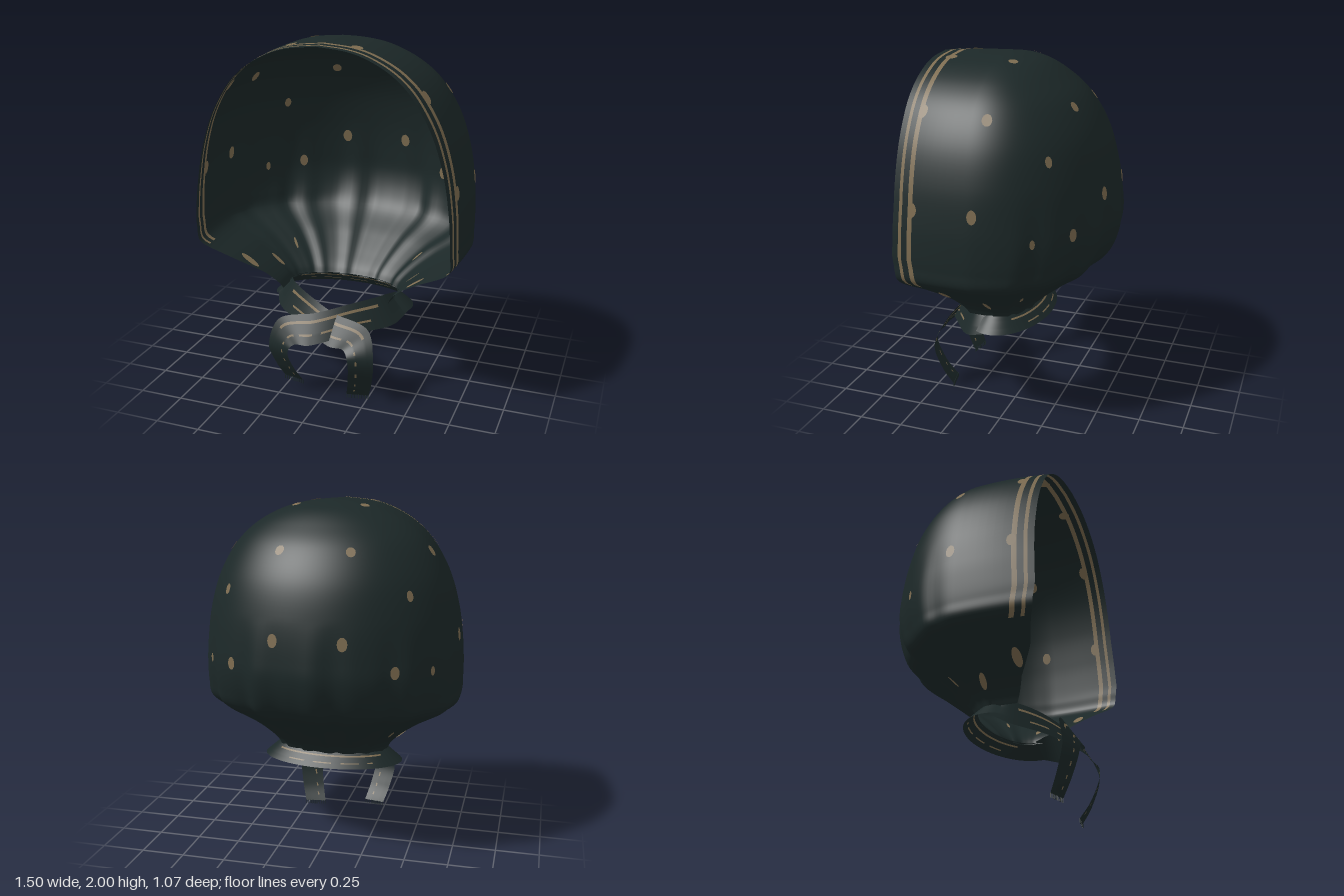
import * as THREE from 'three';

const cloth = new THREE.MeshStandardMaterial({ color: 0x1c2828, side: THREE.DoubleSide });
cloth.name = 'dark green cloth';
const gold = new THREE.MeshStandardMaterial({ color: 0x7d6c50, side: THREE.DoubleSide });
gold.name = 'dull gold print';
const mats = [cloth, gold];

const V = (x, y, z) => new THREE.Vector3(x, y, z);

// Linear interpolation in a table of [key, value] pairs with rising keys
function table(pairs, k) {
  if (k <= pairs[0][0]) return pairs[0][1];
  for (let i = 1; i < pairs.length; i++) {
    const [k0, v0] = pairs[i - 1], [k1, v1] = pairs[i];
    if (k <= k1) return v0 + (v1 - v0) * (k - k0) / (k1 - k0);
  }
  return pairs[pairs.length - 1][1];
}

// Sheet of rows x cols points; isGold(row, col) picks the colour of a cell
function sheet(name, rows, cols, point, isGold) {
  const pos = [], faces = [[], []];
  for (let r = 0; r < rows; r++)
    for (let c = 0; c < cols; c++) pos.push(...point(r, c).toArray());
  for (let r = 0; r < rows - 1; r++)
    for (let c = 0; c < cols - 1; c++) {
      const a = r * cols + c, b = a + cols;
      faces[isGold(r, c) ? 1 : 0].push(a, b, a + 1, b, b + 1, a + 1);
    }
  const geo = new THREE.BufferGeometry();
  geo.setAttribute('position', new THREE.Float32BufferAttribute(pos, 3));
  geo.setIndex([...faces[0], ...faces[1]]);
  geo.addGroup(0, faces[0].length, 0);
  geo.addGroup(faces[0].length, faces[1].length, 1);
  geo.computeVertexNormals();
  const mesh = new THREE.Mesh(geo, mats);
  mesh.name = name;
  return mesh;
}

// Hood: horizontal U-shaped sections, open to the front
const profile = new THREE.CatmullRomCurve3([ // half width, height, back z
  [0, 2, 0.1], [0.17, 1.983, 0], [0.29, 1.95, -0.1], [0.435, 1.875, -0.215], [0.55, 1.77, -0.33],
  [0.653, 1.6, -0.435], [0.715, 1.4, -0.495], [0.743, 1.2, -0.525], [0.75, 1.08, -0.53],
  [0.75, 0.96, -0.5], [0.74, 0.87, -0.45], [0.54, 0.74, -0.29], [0.42, 0.65, -0.18],
  [0.35, 0.58, -0.1], [0.33, 0.54, -0.07],
].map(p => V(...p)));
const frontZ = [[0.54, 0.25], [0.58, 0.27], [0.65, 0.31], [0.75, 0.41], [0.86, 0.49], [1, 0.51], [1.3, 0.5]];
const frontTaper = [[0.85, 0.03], [1.2, 0.05], [1.7, 0.08], [2, 0.08]];
const pleatDepth = [[0.54, 0.03], [0.75, 0.03], [1, 0.016], [1.4, 0]];
const edgeSteps = [0, 0.018, 0.035, 0.055, 0.09, 0.118];
const HOOD_ROWS = 113, ARC = 72, SIDE = edgeSteps.length + 5, MID_Z = 0.1;
const HOOD_COLS = 2 * SIDE + ARC + 1;

function hoodPoint(r, c) {
  const p = profile.getPoint(r / (HOOD_ROWS - 1));
  const w = Math.max(p.x, 0), zf = table(frontZ, p.y);
  const k = Math.min(c, HOOD_COLS - 1 - c), sign = c < HOOD_COLS / 2 ? 1 : -1;
  if (k < SIDE) {
    const last = edgeSteps.length - 1;
    const rest = zf - MID_Z - edgeSteps[last];
    const d = k <= last ? edgeSteps[k] : edgeSteps[last] + rest * (k - last) / (SIDE - last);
    const ease = Math.max(0, 1 - d / 0.38) ** 2;
    const sag = p.y > 1 ? 0.012 * ease * (p.y - 1) : 0;
    return V(sign * w * (1 - table(frontTaper, p.y) * ease), p.y - sag, zf - d);
  }
  const a = Math.PI * (c - SIDE) / ARC;
  const pleat = 1 + table(pleatDepth, p.y) * Math.sin(a) * (Math.cos(16 * a) - 0.3 + 0.4 * Math.cos(27 * a));
  return V(w * Math.cos(a) * pleat, p.y, MID_Z - (MID_Z - p.z) * Math.sin(a) * pleat);
}

function makeHood() {
  const hood = sheet('hood', HOOD_ROWS, HOOD_COLS, hoodPoint, (r, c) => {
    const k = Math.min(c, HOOD_COLS - 2 - c);
    return (k === 2 || k === 4) && hoodPoint(r, 0).y > 0.85;
  });
  const n = hood.geometry.attributes.normal;
  for (let c = 0; c < HOOD_COLS; c++) n.setXYZ(c, 0, 1, 0);
  return hood;
}

// Printed dots, laid on both faces of the hood
function makeDots(hood) {
  const group = new THREE.Group();
  group.name = 'printedDots';
  const spots = [ // x, y, z, half width, half height
    [0.19, 1.965, 0.02, 0.027, 0.026], [0.56, 1.735, 0.015, 0.027, 0.034],
    [0.19, 1.76, -0.325, 0.026, 0.03], [0.505, 1.525, -0.3, 0.02, 0.03],
    [0.182, 1.31, -0.49, 0.028, 0.038], [0.445, 1.14, -0.405, 0.025, 0.036],
    [0.63, 1.125, -0.24, 0.015, 0.026], [0.74, 1.27, 0.05, 0.026, 0.038],
    [0.73, 1.285, 0.385, 0.026, 0.038], [0.53, 1.74, 0.385, 0.026, 0.038],
    [0.18, 1.97, 0.385, 0.034, 0.03], [0.5, 0.73, 0.32, 0.026, 0.062], [0.42, 0.66, 0.1, 0.018, 0.052],
    [0.4, 0.68, -0.1, 0.008, 0.04],
  ];
  const disc = new THREE.CircleGeometry(1, 16);
  const { position, normal } = hood.geometry.attributes;
  const p = V(0, 0, 0), n = V(0, 0, 0);
  for (const s of spots) for (const m of [1, -1]) {
    const target = V(s[0] * m, s[1], s[2]);
    let best = 0, bestD = Infinity;
    for (let i = 0; i < position.count; i++) {
      const d = p.fromBufferAttribute(position, i).distanceToSquared(target);
      if (d < bestD) { bestD = d; best = i; }
    }
    p.fromBufferAttribute(position, best);
    n.fromBufferAttribute(normal, best);
    for (const face of [1, -1]) {
      const dot = new THREE.Mesh(disc, gold);
      dot.name = 'dot';
      dot.position.copy(p).addScaledVector(n, 0.004 * face);
      dot.lookAt(dot.position.clone().addScaledVector(n, face));
      dot.scale.set(s[3], s[4], 1);
      group.add(dot);
    }
  }
  return group;
}

// Striped ribbon: a centre path and half-width vectors along it
const across = [-1, -0.55, -0.36, 0.3, 0.44, 1];
function ribbon(name, centres, halves, steps, isGold) {
  const path = new THREE.CatmullRomCurve3(centres), side = new THREE.CatmullRomCurve3(halves);
  return sheet(name, steps, across.length, (r, c) => {
    const t = r / (steps - 1);
    return path.getPoint(t).addScaledVector(side.getPoint(t), across[c]);
  }, isGold);
}

// Flared band around the back of the neck
function makeCollar() {
  const centres = [], halves = [];
  for (let i = 0; i <= 20; i++) {
    const a = -0.35 + (Math.PI + 0.7) * i / 20, x = Math.cos(a), z = -Math.sin(a);
    centres.push(V(0.375 * x, 0.51, 0.1 + 0.2 * z));
    halves.push(V(0.045 * x, -0.04, 0.04 * z));
  }
  return ribbon('collar', centres, halves, 81, (r, c) =>
    (c === 1 && r > 18 && r < 62) || (c === 3 && r > 24 && r < 56 && r % 9 < 6));
}

// Tie: crosses under the chin, then hangs down with a fringe
function makeTie(name, m, back, endY) {
  const tie = new THREE.Group();
  tie.name = name;
  const drop = 0.06 - endY;
  const centres = [
    [0.365, 0.51, 0.12], [0.315, 0.495, 0.24], [0.14, 0.47, 0.375], [-0.05, 0.42, 0.47],
    [-0.2, 0.39, 0.49], [-0.245, 0.29, 0.508], [-0.225, 0.16, 0.462], [-0.195, 0.06, 0.408],
  ].map(([x, y, z], i) => V(x * m, y - (i > 5 ? drop : 0), z - (i > 0 && i < 5 ? back : 0)));
  const halves = [
    [0.045, -0.045, 0.01], [0.035, -0.078, 0.02], [0.012, -0.076, 0.035], [0.01, -0.075, 0.048],
    [0.06, -0.055, 0.035], [0.067, -0.005, 0.022], [0.064, 0, 0.018], [0.062, 0, 0.012],
  ].map(([x, y, z]) => V(x * m, y, z));
  // The print is bold on the crossing and fades to short dashes on the tail
  tie.add(ribbon('ribbon', centres, halves, 85, (r, c) =>
    (c === 1 && r > 14 && r < 50) || (c === 3 && r > 14 && (r < 50 ? r % 9 < 6 : r % 6 < 2))));
  // Fringe threads
  const thread = new THREE.BoxGeometry(0.004, 0.024, 0.004);
  const end = centres[7], half = halves[7];
  for (let i = 0; i < 10; i++) {
    const t = new THREE.Mesh(thread, cloth);
    t.name = 'fringeThread';
    t.position.copy(end).addScaledVector(half, -0.97 + 1.94 * i / 9);
    t.position.y -= 0.01;
    tie.add(t);
  }
  return tie;
}

export function createModel() {
  const model = new THREE.Group();
  model.name = 'headscarf';
  const hood = makeHood();
  model.add(hood, makeDots(hood), makeCollar());
  model.add(makeTie('rightTie', 1, 0, 0.06), makeTie('leftTie', -1, 0.03, 0.022));
  return model;
}
